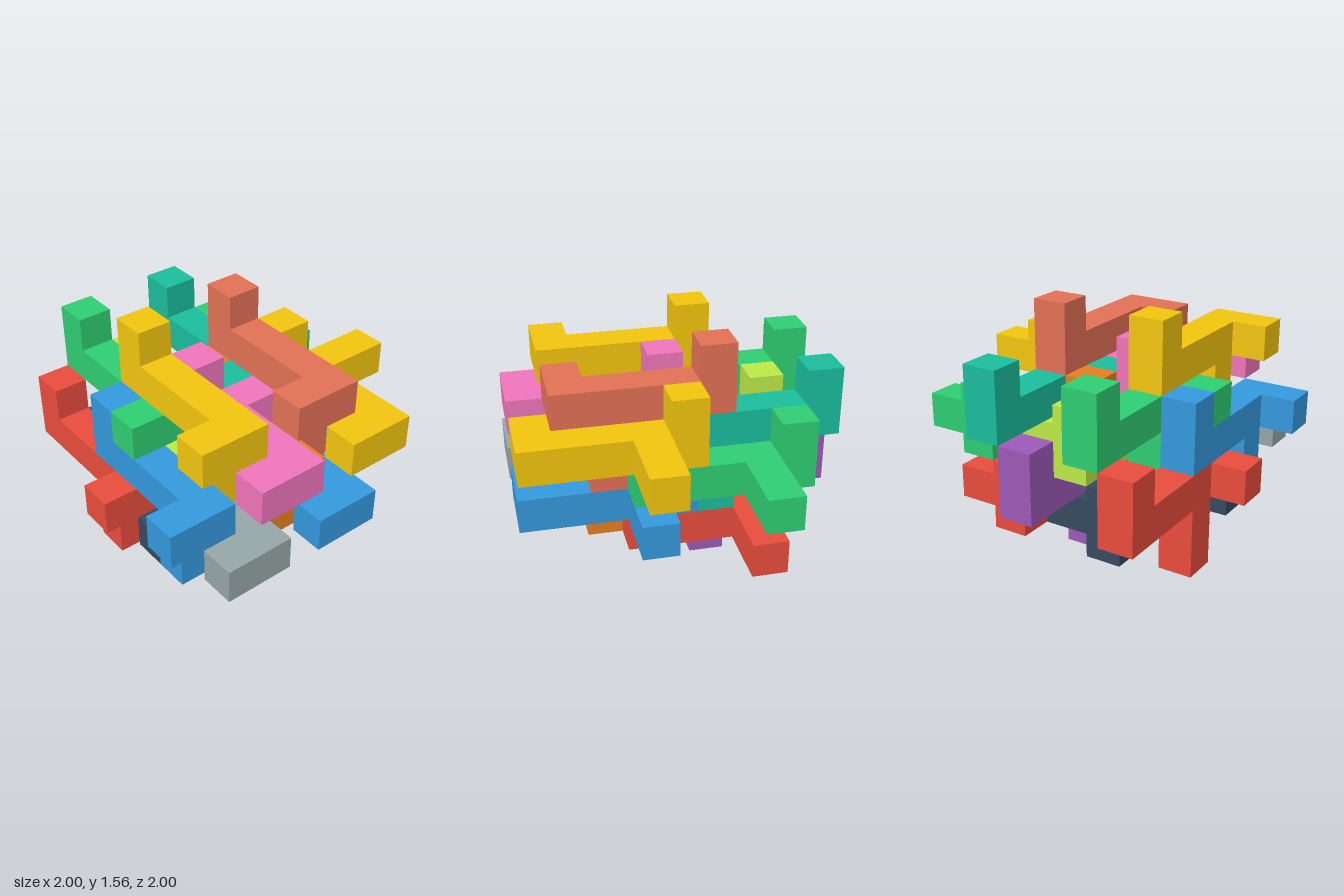
import * as THREE from 'three';
import { mergeGeometries } from 'three/addons/utils/BufferGeometryUtils.js';

const U = 2 / 9; // edge of one unit cube

// One interlocking piece in cube units: flat bar with side arm and end hook, plus a post on top
function pieceGeometry() {
  const outline = [
    [-0.5, -0.5], [0.5, -0.5], [0.5, 0.5], [2.5, 0.5], [2.5, 1.5],
    [0.5, 1.5], [0.5, 4.5], [-1.5, 4.5], [-1.5, 3.5], [-0.5, 3.5],
  ].map(([x, z]) => new THREE.Vector2(x, z));
  const flat = new THREE.ExtrudeGeometry(new THREE.Shape(outline), { depth: 1, bevelEnabled: false });
  flat.rotateX(Math.PI / 2).translate(0, 0.5, 0);
  const post = new THREE.BoxGeometry(1, 1, 1).translate(0, 1, 0).toNonIndexed();
  return mergeGeometries([flat, post]);
}

// Each piece: colour name, colour, cube cell of the bar's rear end
const LYING = [ // side arm points to +x, post up
  ['yellow', 0xf1c40f, 2, 4, 0],
  ['pink', 0xee74ba, -1, 4, 0],
  ['green', 0x2ecc71, 2, 3, -3],
  ['lime', 0xbbe846, -1, 3, -3],
  ['blue', 0x3498db, 1, 2, 0],
  ['grey', 0x95a5a6, -2, 2, 0],
  ['red', 0xe74c3c, 1, 1, -3],
  ['navy', 0x34495e, -2, 1, -3],
];
const UPRIGHT = [ // side arm points down, hook up at the rear
  ['yellow', 0xf1c40f, -2, 5, -1],
  ['coral', 0xe17055, 1, 5, -1],
  ['green', 0x2ecc71, -2, 4, -4],
  ['teal', 0x1abc9c, 1, 4, -4],
  ['orange', 0xe67e22, 0, 3, -1],
  ['blue', 0x3498db, -3, 3, -1],
  ['purple', 0x9b59b6, 0, 2, -4],
  ['red', 0xe74c3c, -3, 2, -4],
];

export function createModel() {
  const model = new THREE.Group();
  model.name = 'interlockingPuzzle';

  const lying = pieceGeometry();
  // Same piece turned end for end: x -> -y, y -> -x, z -> -z
  const turn = new THREE.Matrix4().makeBasis(
    new THREE.Vector3(0, -1, 0), new THREE.Vector3(-1, 0, 0), new THREE.Vector3(0, 0, -1));
  const upright = lying.clone().applyMatrix4(turn).translate(0, 0, 4);

  const addPieces = (list, geometry, kind) => {
    for (const [name, color, x, y, z] of list) {
      const piece = new THREE.Mesh(geometry, new THREE.MeshStandardMaterial({ color }));
      piece.name = `${name}${kind}Piece`;
      piece.position.set(x * U, (y + 0.5) * U, z * U);
      piece.scale.setScalar(U);
      model.add(piece);
    }
  };
  addPieces(LYING, lying, 'Lying');
  addPieces(UPRIGHT, upright, 'Upright');
  return model;
}
